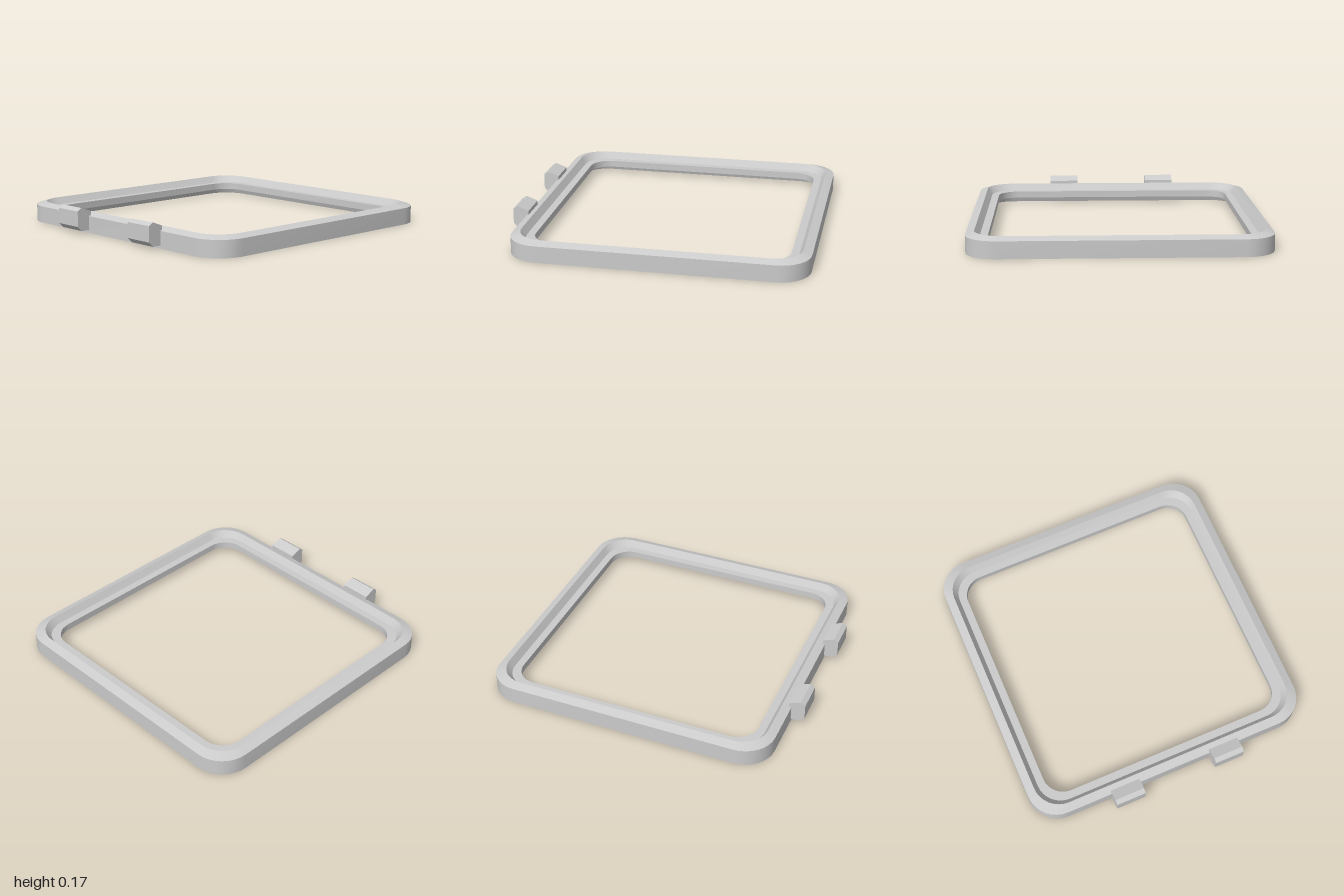
import * as THREE from 'three';
import { toCreasedNormals } from 'three/addons/utils/BufferGeometryUtils.js';

const material = new THREE.MeshStandardMaterial({ color: 0xcccccc });
const HALF = 0.955, CENTER_X = 0.045, RADIUS = 0.2, SEGMENTS = 8;

// Frame cross-section as [inset from the outer edge, height]
const section = [
  [0, 0], [0, 0.11], [0.055, 0.13], [0.085, 0.085],
  [0.135, 0.085], [0.135, 0.04], [0.085, 0.04], [0.07, 0],
];

// Sweeps the section around a square with rounded corners
function frameGeometry() {
  const positions = [], index = [];
  const n = section.length, rings = 4 * (SEGMENTS + 1);
  for (let corner = 0; corner < 4; corner++) {
    const sx = corner === 0 || corner === 3 ? 1 : -1;
    const sz = corner < 2 ? 1 : -1;
    for (let k = 0; k <= SEGMENTS; k++) {
      const a = (corner + k / SEGMENTS) * Math.PI / 2;
      for (const [inset, y] of section) {
        const r = RADIUS - 0.45 * inset;
        const c = HALF - inset - r;
        positions.push(CENTER_X + sx * c + r * Math.cos(a), y, sz * c + r * Math.sin(a));
      }
    }
  }
  for (let i = 0; i < rings; i++) {
    for (let j = 0; j < n; j++) {
      const i2 = (i + 1) % rings, j2 = (j + 1) % n;
      const a = i * n + j, b = i * n + j2, c = i2 * n + j, d = i2 * n + j2;
      index.push(a, b, c, c, b, d);
    }
  }
  const geometry = new THREE.BufferGeometry();
  geometry.setAttribute('position', new THREE.Float32BufferAttribute(positions, 3));
  geometry.setIndex(index);
  return toCreasedNormals(geometry, 0.3);
}

// Hinge lug: chamfered profile extruded along z
function lugGeometry() {
  const profile = [
    [-1, 0.05], [-0.97, 0.02], [-0.895, 0.02], [-0.895, 0.142], [-0.97, 0.17], [-1, 0.15],
  ].map(([x, y]) => new THREE.Vector2(x, y));
  const geometry = new THREE.ExtrudeGeometry(new THREE.Shape(profile), { depth: 0.2, bevelEnabled: false });
  return geometry.translate(0, 0, -0.1);
}

export function createModel() {
  const model = new THREE.Group();
  model.name = 'hingedFrame';

  const frame = new THREE.Mesh(frameGeometry(), material);
  frame.name = 'frame';
  model.add(frame);

  // Two lugs on the right-hand edge
  for (const side of [1, -1]) {
    const lug = new THREE.Mesh(lugGeometry(), material);
    lug.name = side > 0 ? 'frontHingeLug' : 'backHingeLug';
    lug.position.z = 0.35 * side;
    model.add(lug);
  }
  return model;
}
